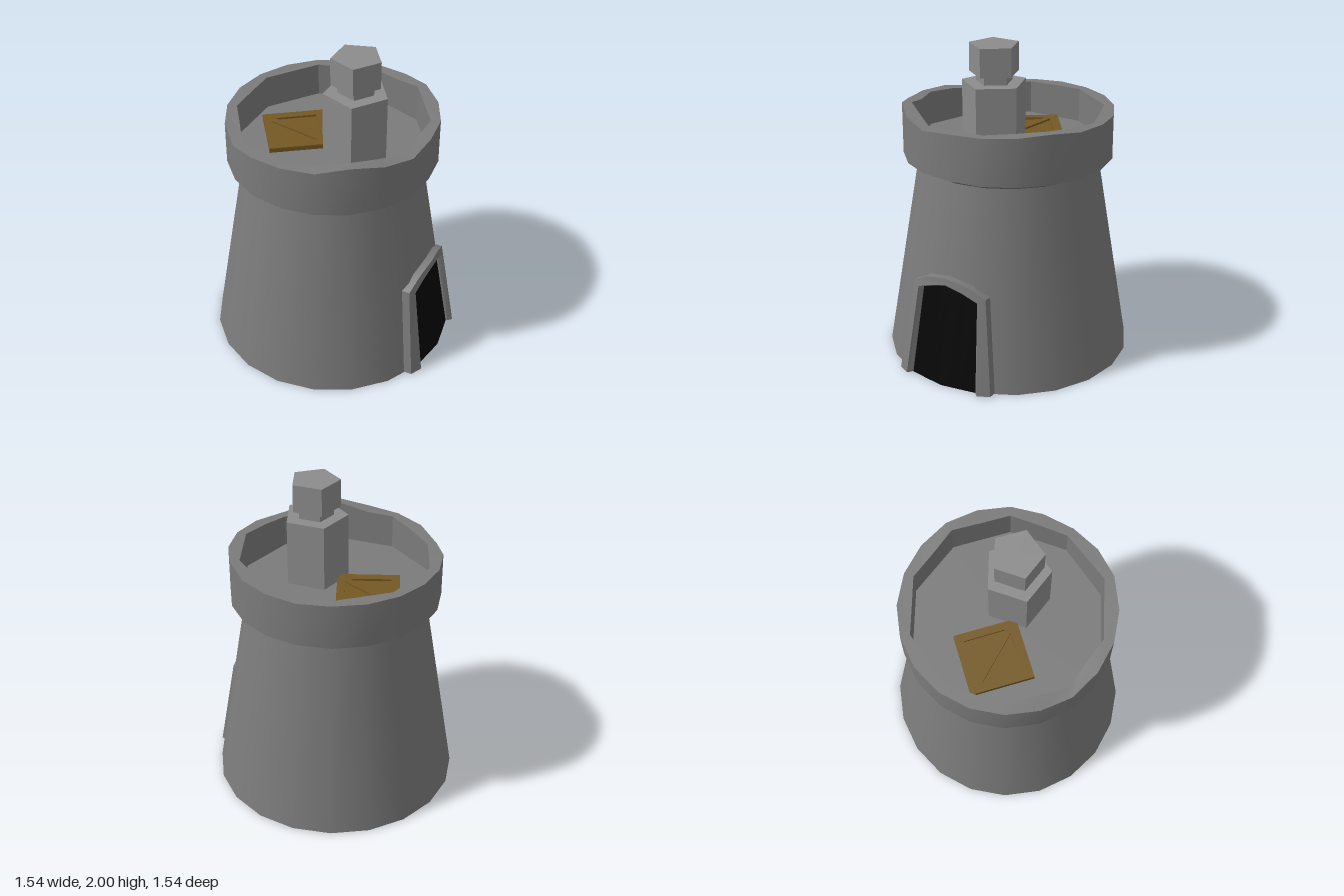
import * as THREE from 'three';
import { toCreasedNormals } from 'three/addons/utils/BufferGeometryUtils.js';

const SIDES = 20, STEP = Math.PI * 2 / SIDES;
const WALL_H = 1.25, R_BOTTOM = 0.77, R_TOP = 0.56;

const stone = new THREE.MeshStandardMaterial({ color: 0x7b7b7b });
const paleStone = new THREE.MeshStandardMaterial({ color: 0x8c8c8c, flatShading: true });
const wood = new THREE.MeshStandardMaterial({ color: 0x745924, flatShading: true });
const dark = new THREE.MeshStandardMaterial({ color: 0x060606, side: THREE.DoubleSide });

// Skin a surface over rows of points, each row a list of [x, y, z]
function loft(rows, closed) {
  const n = rows[0].length, index = [];
  for (let i = 0; i < rows.length - 1; i++) {
    for (let j = 0; j < (closed ? n : n - 1); j++) {
      const k = (j + 1) % n;
      const a = i * n + j, b = i * n + k, d = a + n, c = b + n;
      index.push(a, d, b, b, d, c);
    }
  }
  const g = new THREE.BufferGeometry();
  g.setAttribute('position', new THREE.Float32BufferAttribute(rows.flat(2), 3));
  g.setIndex(index);
  return toCreasedNormals(g, 0.5);
}

// Point on the tower's faceted wall at side position z and height y, pushed out by off
function onWall(z, y, off) {
  const r = R_BOTTOM + (R_TOP - R_BOTTOM) * y / WALL_H;
  const angle = Math.asin(z / (r + off));
  const local = ((angle % STEP) + STEP) % STEP - STEP / 2;
  const facet = r * Math.cos(STEP / 2) / Math.cos(local) + off;
  return [facet * Math.cos(angle), y, facet * Math.sin(angle)];
}

export function createModel() {
  const model = new THREE.Group();
  model.name = 'tower';
  const add = (name, geometry, material, parent = model) => {
    const mesh = new THREE.Mesh(geometry, material);
    mesh.name = name;
    parent.add(mesh);
    return mesh;
  };

  // Tapered tower wall
  add('towerWall', new THREE.CylinderGeometry(R_TOP, R_BOTTOM, WALL_H, SIDES), stone)
    .position.y = WALL_H / 2;

  // Parapet with a worn, uneven top, a ten-sided inside and the roof floor
  const tops = [1.575, 1.555, 1.58, 1.61, 1.575, 1.57, 1.56, 1.53, 1.56, 1.565,
    1.57, 1.57, 1.57, 1.57, 1.565, 1.57, 1.575, 1.595, 1.585, 1.58];
  const FLOOR = 1.355;
  const inner = i => 0.59 * (i % 2 ? 1 : Math.cos(STEP));
  const ring = (radius, height) => tops.map((top, i) => {
    const r = radius(i);
    return [r * Math.cos(i * STEP), height ?? top, r * Math.sin(i * STEP)];
  });
  const outer = i => i === 0 ? 0.64 : 0.65;
  add('parapet', loft([
    ring(() => 0.54, WALL_H), ring(() => 0.565, WALL_H), ring(outer, 1.29),
    ring(outer), ring(inner), ring(inner, FLOOR), ring(() => 0, FLOOR),
  ], true), stone);

  // Five-sided chimney: shaft, neck and cap
  const chimney = new THREE.Group();
  chimney.name = 'chimney';
  chimney.position.x = 0.157;
  model.add(chimney);
  for (const [name, r, y0, y1] of [
    ['chimneyShaft', 0.202, FLOOR, 1.77],
    ['chimneyNeck', 0.114, 1.77, 1.825],
    ['chimneyCap', 0.156, 1.825, 2],
  ]) {
    const g = new THREE.CylinderGeometry(r, r, y1 - y0, 5).rotateY(Math.PI / 2);
    add(name, g, paleStone, chimney).position.y = (y0 + y1) / 2;
  }

  // Wooden roof hatch: a base board under a frame with a diagonal brace
  const hatch = new THREE.Group();
  hatch.name = 'hatch';
  model.add(hatch);
  const outline = pts => pts.map(([x, z]) => new THREE.Vector2(x, -z));
  const corners = [[-0.52, -0.045], [-0.29, 0.27], [0.02, 0.045], [-0.21, -0.27]];
  const slab = (shape, y, depth) =>
    new THREE.ExtrudeGeometry(shape, { depth, bevelEnabled: false })
      .rotateX(-Math.PI / 2).translate(0, y, 0);
  add('hatchBoard', slab(new THREE.Shape(outline(corners)), FLOOR, 0.018), wood, hatch);
  const frame = new THREE.Shape(outline(corners));
  frame.holes.push(
    new THREE.Path(outline([[-0.425, -0.045], [-0.22, -0.197], [-0.07, 0.005]])),
    new THREE.Path(outline([[-0.43, -0.008], [-0.08, 0.045], [-0.28, 0.195]])));
  add('hatchFrame', slab(frame, FLOOR + 0.018, 0.012), wood, hatch);

  // Dark doorway laid on the wall
  const across = [-1, -0.5, 0, 0.5, 1];
  add('doorway', loft([
    across.map(t => onWall(t * 0.245, 0, 0.003)),
    across.map(t => onWall(t * 0.21, 0.645 - 0.06 * Math.abs(t), 0.003)),
  ], false), dark);

  // Stone door surround following the wall, with a chamfered inner edge
  const half = [ // outer z, y, inner z, y
    [0.338, 0.005, 0.237, 0.005], [0.26, 0.6, 0.2, 0.57],
    [0.15, 0.66, 0.1, 0.605], [0, 0.69, 0, 0.635]];
  const arch = [...half,
    ...half.slice(0, 3).reverse().map(([a, b, c, d]) => [-a, b, -c, d])];
  const sections = arch.map(([oz, oy, iz, iy]) => [
    onWall(iz, iy, -0.02), onWall(iz, iy, 0.015),
    onWall(iz + (oz - iz) * 0.24, iy + (oy - iy) * 0.24, 0.045),
    onWall(oz, oy, 0.045), onWall(oz, oy, -0.02)]);
  const cap = s => s.map(() =>
    [0, 1, 2].map(k => s.reduce((sum, p) => sum + p[k], 0) / s.length));
  add('doorSurround', loft([cap(sections[0]), ...sections, cap(sections[6])], true), stone);

  return model;
}
